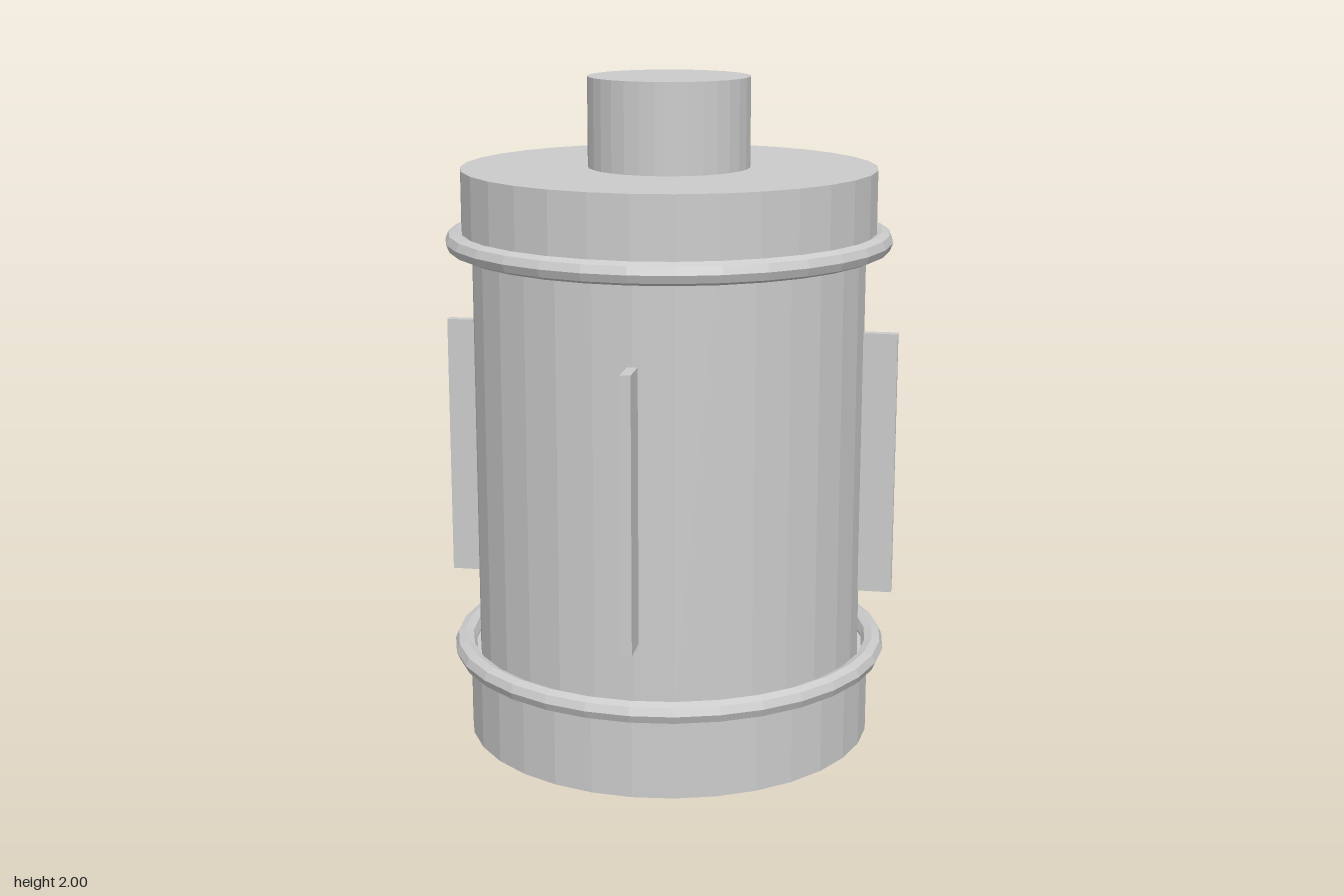
import * as THREE from 'three';

const SEGMENTS = 32;

export function createModel() {
  const model = new THREE.Group();
  const material = new THREE.MeshStandardMaterial({ color: 0xcccccc, flatShading: true });

  const add = (name, geometry, x, y, z) => {
    const mesh = new THREE.Mesh(geometry, material);
    mesh.name = name;
    mesh.position.set(x, y, z);
    model.add(mesh);
    return mesh;
  };

  // Upright closed cylinder between two heights
  const drum = (name, radius, bottom, top) =>
    add(name, new THREE.CylinderGeometry(radius, radius, top - bottom, SEGMENTS), 0, (bottom + top) / 2, 0);

  // Stacked drums: base, body, lid and neck
  drum('base', 0.617, 0, 0.24);
  drum('body', 0.587, 0.24, 1.5);
  drum('lid', 0.617, 1.5, 1.735);
  drum('neck', 0.24, 1.735, 2);

  // Rings around the joints
  for (const [name, y] of [['lowerRing', 0.268], ['upperRing', 1.523]]) {
    const ring = add(name, new THREE.TorusGeometry(0.632, 0.033, 8, SEGMENTS), 0, y, 0);
    ring.rotation.x = Math.PI / 2;
  }

  // Four upright fins, partly sunk into the body
  const finGeometry = new THREE.BoxGeometry(0.13, 0.8, 0.03);
  ['leftFin', 'frontFin', 'rightFin', 'backFin'].forEach((name, i) => {
    const angle = i * Math.PI / 2;
    const fin = add(name, finGeometry, Math.cos(angle) * 0.622, 0.855, Math.sin(angle) * 0.622);
    fin.rotation.y = -angle;
  });

  return model;
}
